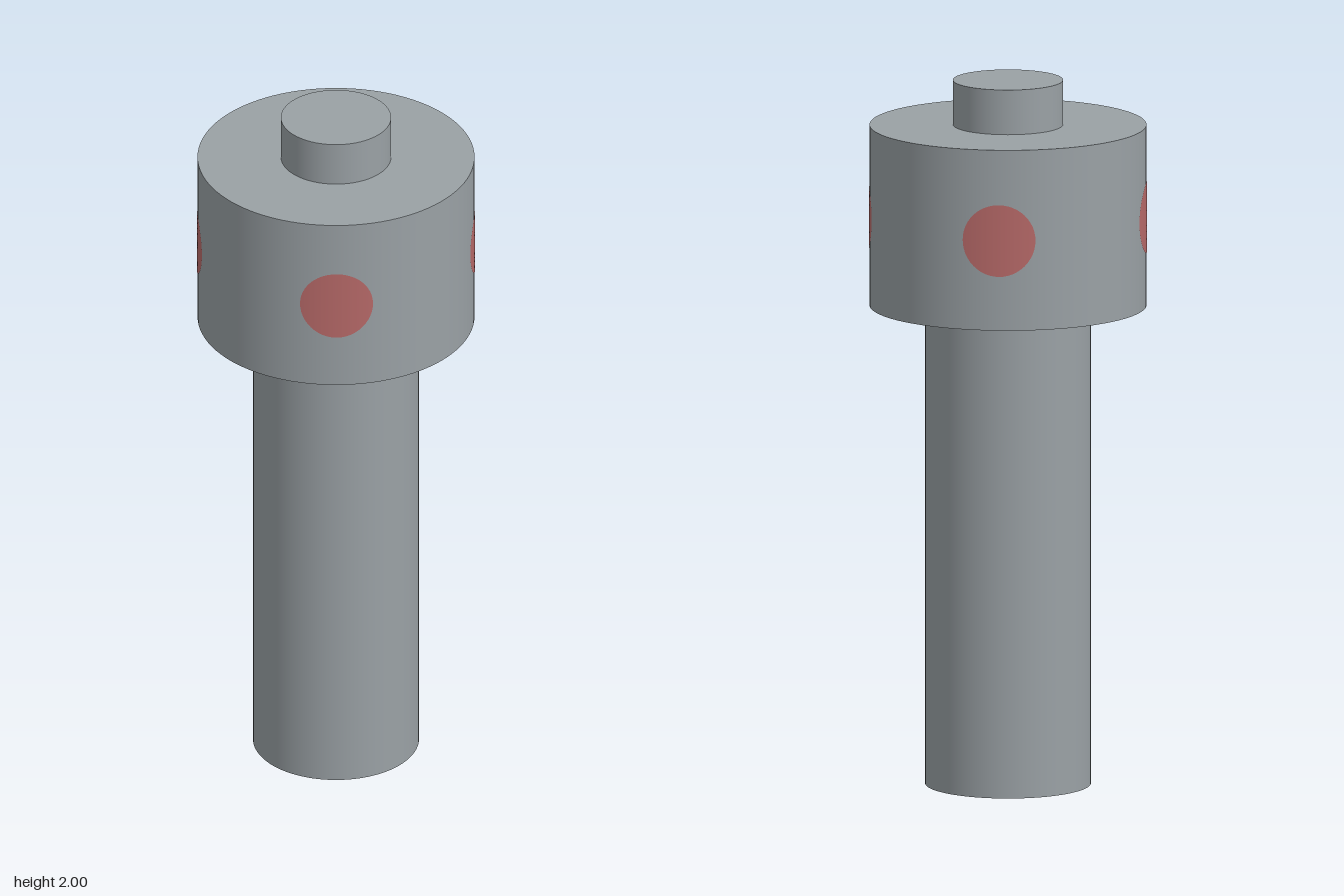
import * as THREE from 'three';

const HEAD_RADIUS = 0.387;

export function createModel() {
  const steel = new THREE.MeshStandardMaterial({ color: 0x9aa1a5 });
  steel.name = 'steel grey';
  const red = new THREE.MeshStandardMaterial({ color: 0xb86a69 });
  red.name = 'muted red';

  const model = new THREE.Group();
  model.name = 'pin';

  // Stacked round sections: shaft, wide head and small top stub
  const addSection = (name, radius, bottom, top) => {
    const geometry = new THREE.CylinderGeometry(radius, radius, top - bottom, 96);
    const mesh = new THREE.Mesh(geometry, steel);
    mesh.name = name;
    mesh.position.y = (bottom + top) / 2;
    model.add(mesh);
  };
  addSection('shaft', 0.232, 0, 1.36);
  addSection('head', HEAD_RADIUS, 1.36, 1.873);
  addSection('topStub', 0.154, 1.873, 2);

  // Round spot wrapped onto the curved side of the head
  const spot = new THREE.RingGeometry(0, 0.102, 48, 8);
  const pos = spot.attributes.position;
  const r = HEAD_RADIUS + 0.0015;
  for (let i = 0; i < pos.count; i++) {
    const x = pos.getX(i);
    const z = Math.sqrt(r * r - x * x);
    pos.setZ(i, z);
    spot.attributes.normal.setXYZ(i, x / r, 0, z / r);
  }

  // One spot on each of the four sides
  ['frontSpot', 'leftSpot', 'backSpot', 'rightSpot'].forEach((name, i) => {
    const mesh = new THREE.Mesh(spot, red);
    mesh.name = name;
    mesh.position.y = 1.615;
    mesh.rotation.y = (i * Math.PI) / 2;
    model.add(mesh);
  });

  return model;
}
